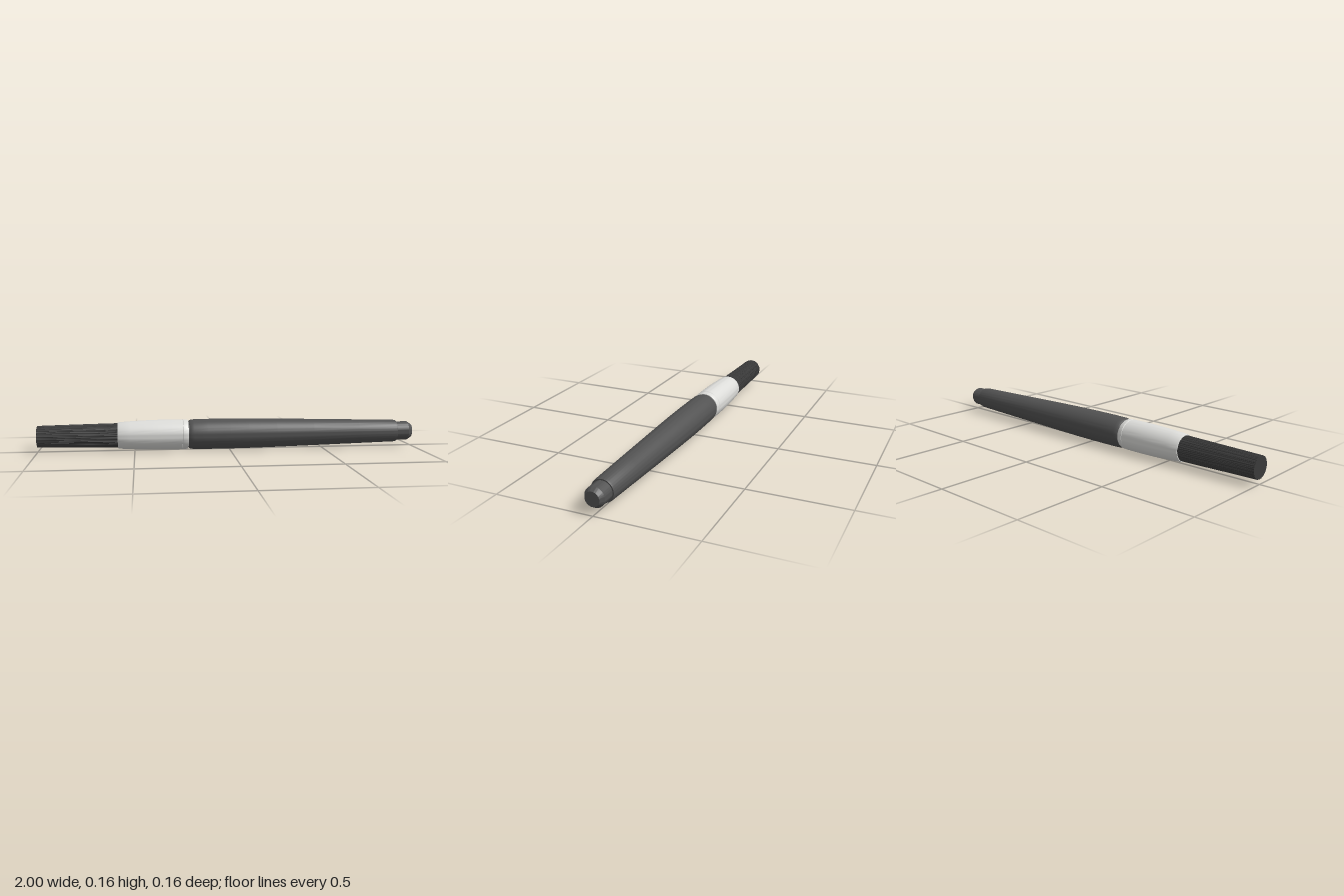
import * as THREE from 'three';
import { toCreasedNormals } from 'three/addons/utils/BufferGeometryUtils.js';

export function createModel() {
  const group = new THREE.Group();
  const mat = (name, color) => {
    const m = new THREE.MeshStandardMaterial({ color });
    m.name = name;
    return m;
  };
  const handleGrey = mat('handle grey', 0x525252);
  const bristleGrey = mat('bristle charcoal', 0x3a3a3a);
  const ferruleWhite = mat('ferrule off-white', 0xdcdcd9);
  const AXIS = 0.08;

  const add = (name, geometry, material) => {
    const mesh = new THREE.Mesh(geometry, material);
    mesh.name = name;
    mesh.position.y = AXIS;
    group.add(mesh);
    return mesh;
  };

  // Turned part along x from [x, radius] points
  const turned = (name, profile, material) => {
    const pts = profile.map(([x, r]) => new THREE.Vector2(r, x));
    const geo = new THREE.LatheGeometry(pts, 64).rotateZ(-Math.PI / 2);
    return add(name, toCreasedNormals(geo, 0.4), material);
  };

  // Long tapering handle with a rounded shoulder
  turned('handle', [
    [-0.215, 0], [-0.215, 0.072], [-0.207, 0.0765], [-0.19, 0.079], [-0.12, 0.08],
    [0, 0.08], [0.1, 0.079], [0.25, 0.076], [0.45, 0.071], [0.7, 0.0645],
    [0.905, 0.059], [0.914, 0.0565], [0.914, 0],
  ], handleGrey);

  // Stepped plug with a chamfered end
  turned('endPlug', [
    [0.9, 0], [0.9, 0.05], [0.978, 0.05], [1, 0.036], [1, 0],
  ], handleGrey);

  // Recessed neck between ferrule and handle
  turned('neck', [[-0.24, 0], [-0.24, 0.069], [-0.2, 0.069], [-0.2, 0]], handleGrey);

  // Pale ferrule with a shallow groove near the handle
  turned('ferrule', [
    [-0.587, 0], [-0.587, 0.067], [-0.58, 0.0695], [-0.52, 0.0735], [-0.45, 0.077],
    [-0.38, 0.079], [-0.3, 0.0795], [-0.254, 0.079], [-0.252, 0.077], [-0.247, 0.077],
    [-0.245, 0.0785], [-0.226, 0.077], [-0.219, 0.074], [-0.219, 0],
  ], ferruleWhite);

  // Bristle core
  turned('bristleCore', [[-1, 0], [-1, 0.055], [-0.58, 0.0625], [-0.58, 0]], bristleGrey);

  // Fine strands around the core, slightly crossing each other
  let seed = 7;
  const rand = () => (seed = (seed * 16807) % 2147483647) / 2147483647;
  const onRing = (x, r, a) => new THREE.Vector3(x, r * Math.cos(a), r * Math.sin(a));
  const COUNT = 48;
  for (let i = 0; i < COUNT; i++) {
    const a = (i / COUNT) * Math.PI * 2;
    const depth = rand() * 0.0015;
    const points = [-1, -0.86, -0.72, -0.58].map((x, k) =>
      onRing(x, 0.0535 + k * 0.0026 - depth, a + (rand() - 0.5) * 0.09));
    const tube = new THREE.TubeGeometry(new THREE.CatmullRomCurve3(points), 12, 0.004, 6, false);
    add('bristle', tube, bristleGrey);
  }
  return group;
}
